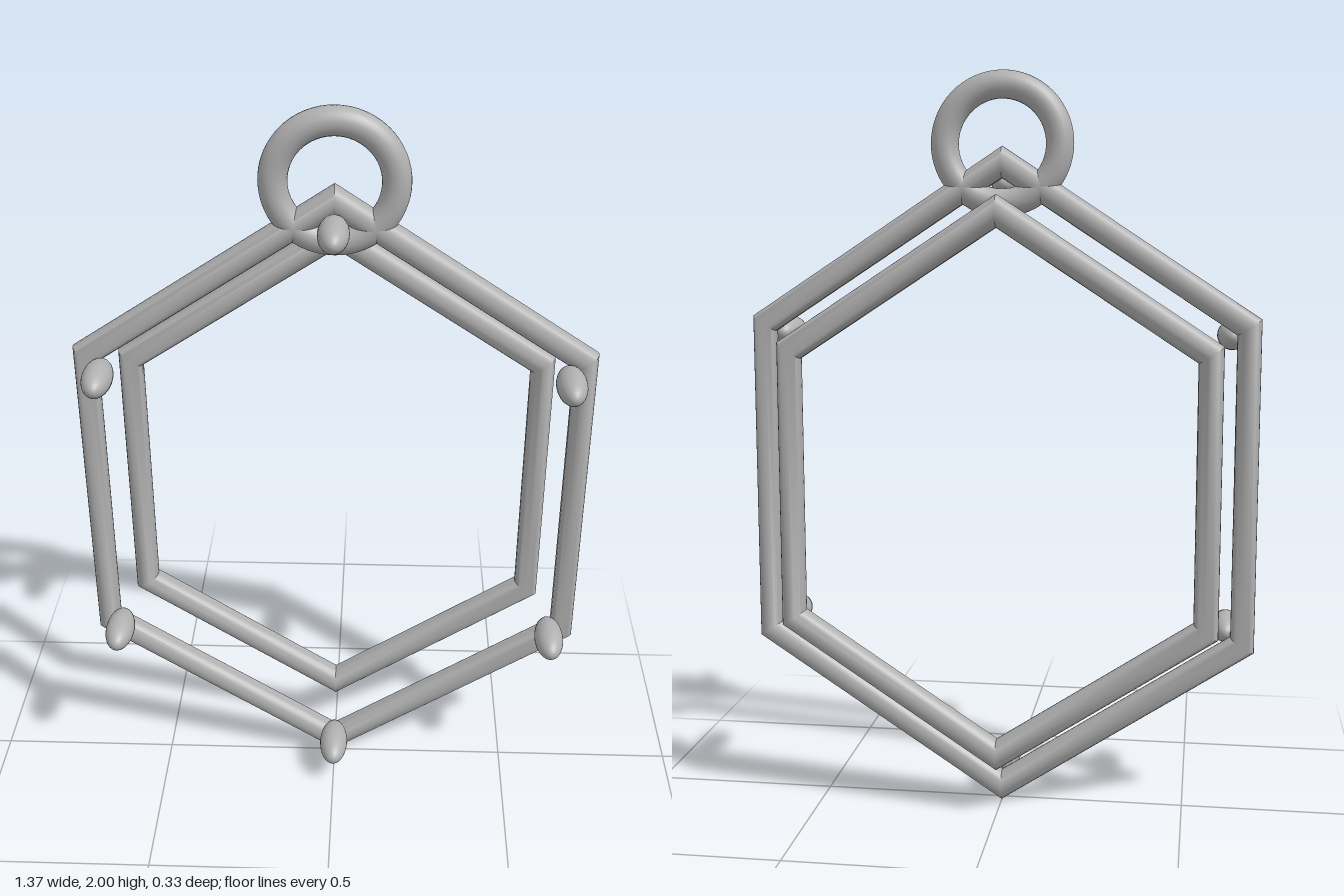
import * as THREE from 'three';
import { toCreasedNormals } from 'three/addons/utils/BufferGeometryUtils.js';

const CENTER_Y = 0.905;
const STRETCH = 1.135; // the hexagons are slightly taller than wide

export function createModel() {
  const group = new THREE.Group();
  const metal = new THREE.MeshStandardMaterial({ color: 0xb0b0b0 });
  metal.name = 'grey metal';

  const add = (name, geometry, x, y, z) => {
    const mesh = new THREE.Mesh(geometry, metal);
    mesh.name = name;
    mesh.position.set(x, y, z);
    group.add(mesh);
  };

  // Six-sided frame: a torus with six segments, a corner at the top, sharp mitres
  const hexagon = (radius, tube) => {
    const g = new THREE.TorusGeometry(radius, tube, 24, 6);
    g.rotateZ(Math.PI / 6);
    g.scale(1, STRETCH, 1);
    return toCreasedNormals(g, 0.7);
  };
  add('outerFrame', hexagon(0.756, 0.037), 0, CENTER_Y, -0.015);
  add('backFrame', hexagon(0.643, 0.038), 0, CENTER_Y, -0.128);

  // Hanging loop
  add('hangingLoop', new THREE.TorusGeometry(0.153, 0.037, 24, 64), 0, 1.81, -0.015);

  // Oval prongs at the six corners
  const prong = new THREE.SphereGeometry(1, 32, 20);
  prong.rotateX(Math.PI / 2);
  prong.scale(0.04, 0.04, 0.087);
  for (let i = 0; i < 6; i++) {
    const a = Math.PI / 6 + (i * Math.PI) / 3;
    add('prong' + (i + 1), prong, 0.705 * Math.cos(a), CENTER_Y + 0.804 * Math.sin(a), 0.077);
  }
  return group;
}
